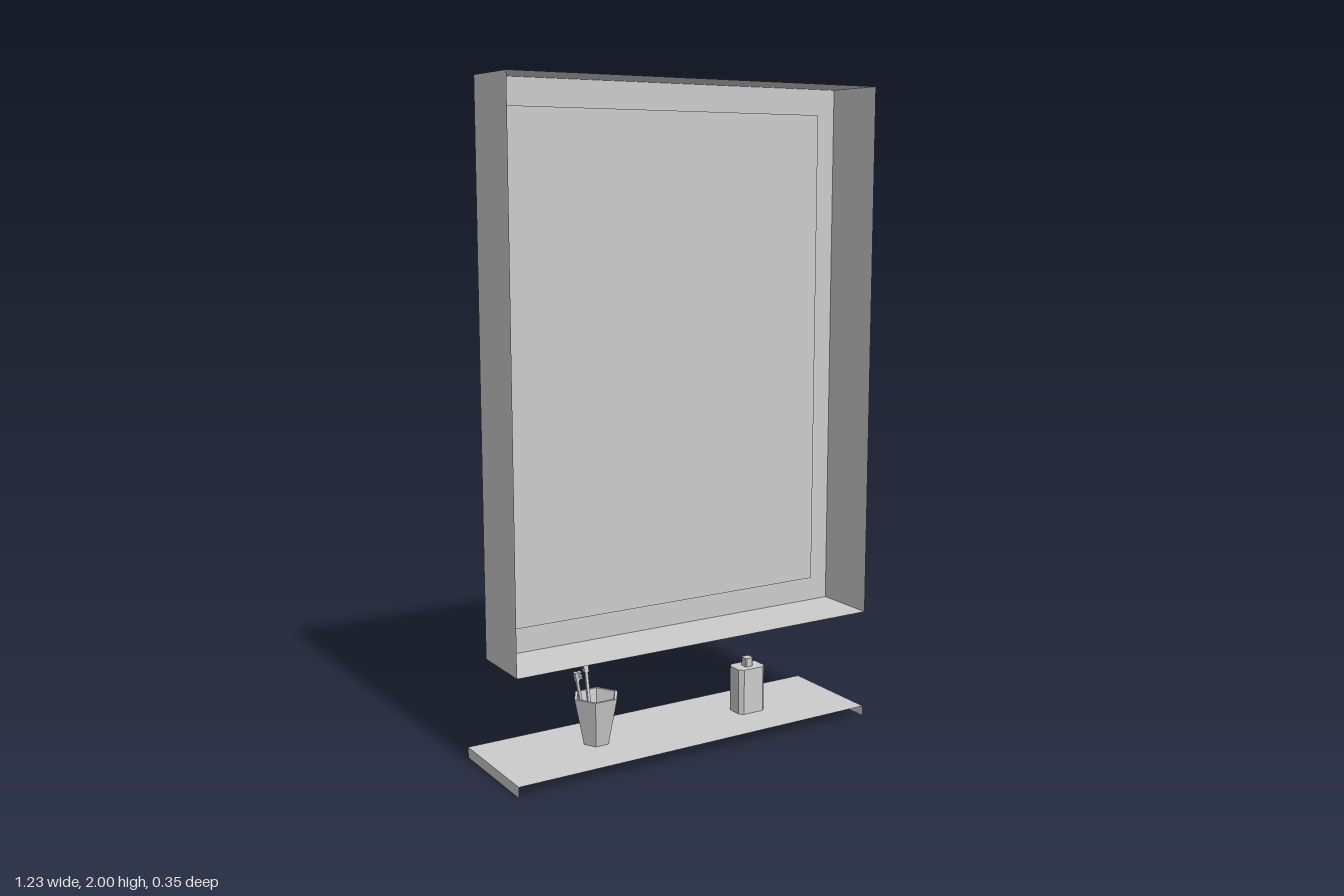
import * as THREE from 'three';

const mat = new THREE.MeshStandardMaterial({ color: 0xcccccc, flatShading: true, side: THREE.DoubleSide });

function add(parent, name, geo, x = 0, y = 0, z = 0) {
  const mesh = new THREE.Mesh(geo, mat);
  mesh.name = name;
  mesh.position.set(x, y, z);
  parent.add(mesh);
  return mesh;
}

// Thin sheet skinned over a series of rectangles [halfWidth, bottom, top, z]
function rectLoft(rings, capLast) {
  const pos = [], idx = [];
  for (const [w, b, t, z] of rings) pos.push(-w, b, z, w, b, z, w, t, z, -w, t, z);
  for (let r = 0; r < rings.length - 1; r++) {
    for (let i = 0; i < 4; i++) {
      const a = r * 4 + i, c = r * 4 + (i + 1) % 4;
      idx.push(a, a + 4, c, c, a + 4, c + 4);
    }
  }
  const n = (rings.length - 1) * 4;
  if (capLast) idx.push(n, n + 1, n + 2, n, n + 2, n + 3);
  const geo = new THREE.BufferGeometry();
  geo.setAttribute('position', new THREE.Float32BufferAttribute(pos, 3));
  geo.setIndex(idx);
  geo.computeVertexNormals();
  return geo;
}

// Toothbrush standing on its origin, bristles toward +x
function toothbrush(name) {
  const brush = new THREE.Group();
  brush.name = name;
  add(brush, 'handle', new THREE.BoxGeometry(0.008, 0.222, 0.009), 0, 0.111, 0);
  add(brush, 'brushHead', new THREE.BoxGeometry(0.009, 0.03, 0.015), 0, 0.207, 0);
  for (const y of [0.199, 0.209, 0.218]) {
    add(brush, 'bristles', new THREE.BoxGeometry(0.014, 0.005, 0.011), 0.011, y, 0);
  }
  return brush;
}

export function createModel() {
  const model = new THREE.Group();
  model.name = 'mirrorWithShelf';

  // Deep frame, open at the front, with a rim and an inset pane
  const mirror = new THREE.Group();
  mirror.name = 'mirror';
  model.add(mirror);
  const W = 0.617;
  add(mirror, 'frame', rectLoft([
    [W, 0.35, 2, 0.175],
    [W, 0.35, 2, -0.03],
    [0.537, 0.432, 1.92, -0.03],
    [0.537, 0.432, 1.92, -0.006],
  ], false));
  add(mirror, 'pane', new THREE.PlaneGeometry(1.074, 1.488), 0, 1.176, -0.006);

  // Shelf shell: top, back edge and two ends
  const shelf = new THREE.Group();
  shelf.name = 'shelf';
  model.add(shelf);
  const H = 0.033, D = 0.35;
  add(shelf, 'shelfTop', new THREE.PlaneGeometry(2 * W, D).rotateX(-Math.PI / 2), 0, H, 0);
  add(shelf, 'shelfBack', new THREE.PlaneGeometry(2 * W, H).rotateY(Math.PI), 0, H / 2, -D / 2);
  for (const s of [-1, 1]) {
    add(shelf, 'shelfEnd', new THREE.PlaneGeometry(D, H).rotateY(s * Math.PI / 2), s * W, H / 2, 0);
  }

  // Six-sided tumbler
  const tumbler = new THREE.Group();
  tumbler.name = 'tumbler';
  tumbler.position.set(-0.267, H, -0.01);
  model.add(tumbler);
  const profile = [[0, 0], [0.043, 0], [0.074, 0.148], [0.065, 0.148], [0.037, 0.012], [0, 0.012]];
  add(tumbler, 'cup', new THREE.LatheGeometry(
    profile.map(([x, y]) => new THREE.Vector2(x, y)), 6, Math.PI / 6));

  // Two toothbrushes leaning on the rim
  const sideBrush = toothbrush('sideBrush');
  sideBrush.position.set(-0.028, 0.014, 0);
  sideBrush.rotation.z = 0.19;
  tumbler.add(sideBrush);
  const backBrush = toothbrush('backBrush');
  backBrush.position.set(0, 0.014, -0.026);
  backBrush.rotation.set(-0.19, Math.PI / 2, 0, 'XYZ');
  tumbler.add(backBrush);

  // Bottle with chamfered corners and a small cap
  const bottle = new THREE.Group();
  bottle.name = 'bottle';
  bottle.position.set(0.281, H, 0);
  model.add(bottle);
  const chamferedBox = (w, d, c, h) => {
    const s = new THREE.Shape([
      [w - c, -d], [w, c - d], [w, d - c], [w - c, d],
      [c - w, d], [-w, d - c], [-w, c - d], [c - w, -d],
    ].map(([x, y]) => new THREE.Vector2(x, y)));
    return new THREE.ExtrudeGeometry(s, { depth: h, bevelEnabled: false }).rotateX(-Math.PI / 2);
  };
  add(bottle, 'bottleBody', chamferedBox(0.049, 0.037, 0.013, 0.147));
  add(bottle, 'cap', chamferedBox(0.014, 0.014, 0.004, 0.028), 0, 0.147, 0);

  return model;
}
